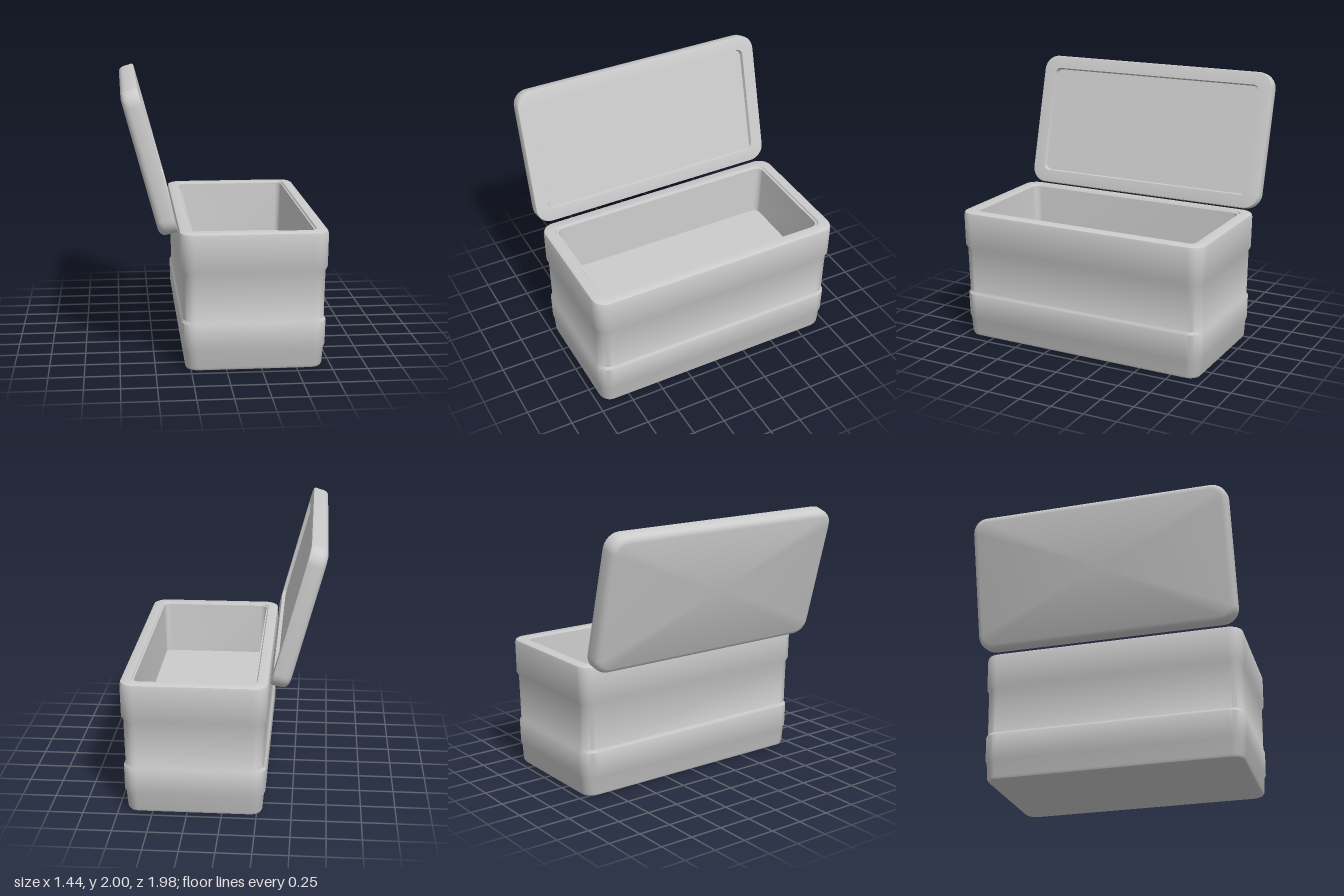
import * as THREE from 'three';
import { toCreasedNormals } from 'three/addons/utils/BufferGeometryUtils.js';

const CORNER_STEPS = 8;

// Outline of a rounded rectangle at height y
function ring([y, hx, hz, r]) {
  const points = [];
  const signs = [[1, 1], [-1, 1], [-1, -1], [1, -1]];
  signs.forEach(([sx, sz], q) => {
    for (let i = 0; i <= CORNER_STEPS; i++) {
      const a = (q + i / CORNER_STEPS) * Math.PI / 2;
      points.push([sx * (hx - r) + r * Math.cos(a), y, sz * (hz - r) + r * Math.sin(a)]);
    }
  });
  return points;
}

// Skin a stack of rounded rectangles; a section of zero size closes the end
function loft(sections) {
  const rings = sections.map(ring);
  const position = [];
  for (let i = 0; i < rings.length - 1; i++) {
    const n = rings[i].length;
    for (let j = 0; j < n; j++) {
      const k = (j + 1) % n;
      const a = rings[i][j], b = rings[i][k], c = rings[i + 1][j], d = rings[i + 1][k];
      if (sections[i][1] > 0) position.push(...a, ...c, ...b);
      if (sections[i + 1][1] > 0) position.push(...b, ...c, ...d);
    }
  }
  const geometry = new THREE.BufferGeometry();
  geometry.setAttribute('position', new THREE.Float32BufferAttribute(position, 3));
  return toCreasedNormals(geometry, 0.6);
}

export function createModel() {
  const group = new THREE.Group();
  const material = new THREE.MeshStandardMaterial({ color: 0xcccccc });

  // Box: outside with two raised bands, over the rim, down to the inner floor
  const box = new THREE.Mesh(loft([
    [0, 0, 0, 0],
    [0, 0.465, 0.935, 0.07],
    [0.007, 0.48, 0.95, 0.08],
    [0.025, 0.488, 0.96, 0.085],
    [0.145, 0.498, 0.967, 0.09],
    [0.165, 0.509, 0.976, 0.1],
    [0.345, 0.512, 0.979, 0.1],
    [0.365, 0.499, 0.968, 0.09],
    [0.705, 0.505, 0.973, 0.09],
    [0.735, 0.52, 0.987, 0.1],
    [0.97, 0.523, 0.99, 0.1],
    [0.99, 0.518, 0.985, 0.1],
    [0.997, 0.505, 0.972, 0.09],
    [0.997, 0.445, 0.912, 0.06],
    [0.985, 0.438, 0.905, 0.055],
    [0.985, 0.428, 0.89, 0.05],
    [0.58, 0.415, 0.872, 0.045],
    [0.58, 0, 0, 0],
  ]), material);
  box.name = 'box';
  box.position.x = 0.198;
  group.add(box);

  // Lid: rounded back, recessed panel on the inner side, leaning open
  const lid = new THREE.Mesh(loft([
    [-0.065, 0, 0, 0],
    [-0.065, 0.475, 0.945, 0.08],
    [-0.058, 0.497, 0.967, 0.1],
    [-0.042, 0.512, 0.982, 0.11],
    [-0.02, 0.518, 0.988, 0.115],
    [0.05, 0.52, 0.99, 0.115],
    [0.062, 0.515, 0.985, 0.112],
    [0.065, 0.503, 0.973, 0.105],
    [0.065, 0.42, 0.888, 0.05],
    [0.04, 0.412, 0.88, 0.045],
    [0.04, 0, 0, 0],
  ]), material);
  lid.name = 'lid';
  lid.position.set(-0.53, 1.483, 0);
  lid.rotation.z = THREE.MathUtils.degToRad(-75);
  group.add(lid);

  return group;
}
